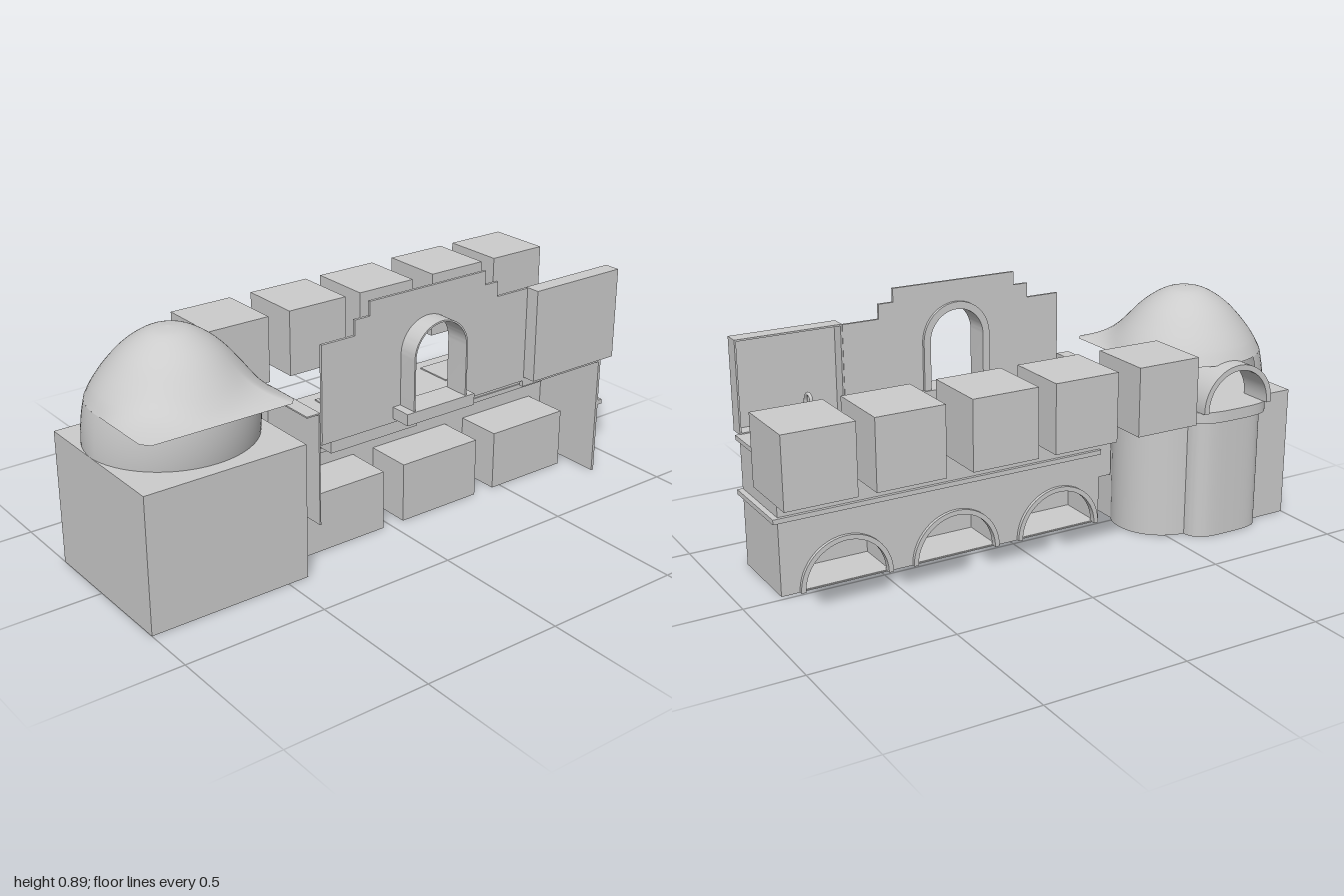
import * as THREE from 'three';
import { toCreasedNormals } from 'three/addons/utils/BufferGeometryUtils.js';
import { ParametricGeometry } from 'three/addons/geometries/ParametricGeometry.js';

export function createModel() {
  const model = new THREE.Group();
  const mat = new THREE.MeshStandardMaterial({ color: 0xcccccc, side: THREE.DoubleSide });

  const add = (name, geo) => {
    const m = new THREE.Mesh(geo, mat);
    m.name = name;
    model.add(m);
    return m;
  };
  // Box given by its limits on each axis
  const box = (name, x0, x1, y0, y1, z0, z1) =>
    add(name, new THREE.BoxGeometry(x1 - x0, y1 - y0, z1 - z0))
      .position.set((x0 + x1) / 2, (y0 + y1) / 2, (z0 + z1) / 2);
  const extrude = (shape, depth) => toCreasedNormals(
    new THREE.ExtrudeGeometry(shape, { depth, bevelEnabled: false, curveSegments: 20 }), 0.5);
  // Upright sheet from z0 to z1
  const upright = (name, shape, z0, z1) => { add(name, extrude(shape, z1 - z0)).position.z = z0; };
  // Flat slab drawn in x and z, from y0 to y1
  const slab = (name, shape, y0, y1) => {
    add(name, extrude(shape, y1 - y0).rotateX(Math.PI / 2)).position.y = y1;
  };
  const poly = (pts, Type = THREE.Shape) => new Type(pts.map(p => new THREE.Vector2(...p)));
  const rect = (x0, x1, y0, y1, Type) => poly([[x0, y0], [x1, y0], [x1, y1], [x0, y1]], Type);
  // Round-headed outline, and a band between two of them
  const arch = (cx, r, y0, spring, Type = THREE.Shape) => {
    const s = new Type();
    s.moveTo(cx - r, y0);
    s.lineTo(cx + r, y0);
    s.lineTo(cx + r, spring);
    s.absarc(cx, spring, r, 0, Math.PI, false);
    s.lineTo(cx - r, y0);
    return s;
  };
  const archBand = (cx, rOut, rIn, y0, spring) => {
    const s = new THREE.Shape();
    s.moveTo(cx + rIn, y0);
    s.lineTo(cx + rOut, y0);
    s.lineTo(cx + rOut, spring);
    s.absarc(cx, spring, rOut, 0, Math.PI, false);
    s.lineTo(cx - rOut, y0);
    s.lineTo(cx - rIn, y0);
    s.lineTo(cx - rIn, spring);
    s.absarc(cx, spring, rIn, Math.PI, 0, true);
    s.lineTo(cx + rIn, y0);
    return s;
  };
  // Five-sided recess, open towards -z
  const recess = (name, x0, x1, y0, y1, z0, z1, t = 0.004) => {
    box(name + 'End', x0, x1, y0, y1, z1 - t, z1);
    box(name + 'Floor', x0, x1, y0, y0 + t, z0, z1);
    box(name + 'Roof', x0, x1, y1 - t, y1, z0, z1);
    box(name + 'Side', x0, x0 + t, y0, y1, z0, z1);
    box(name + 'Side', x1 - t, x1, y0, y1, z0, z1);
  };

  // Row of cubes behind the counter
  for (const x of [-0.475, -0.155, 0.143, 0.47, 0.765])
    box('stoolCube', x, x + 0.235, 0.472, 0.708, -0.395, -0.16);

  // Oven base: square at the front, two lobes meeting in a crease at the back
  const ovenPlan = e => {
    const s = new THREE.Shape();
    s.moveTo(-1, 0.31);
    s.lineTo(-0.425, 0.31);
    s.lineTo(-0.425, 0.02);
    s.bezierCurveTo(-0.385 + e, -0.04, -0.39 + e, -0.2 - e, -0.565 + e, -0.235 - e);
    s.bezierCurveTo(-0.575 + e, -0.3 - e, -0.62, -0.305 - e, -0.715, -0.305 - e);
    s.bezierCurveTo(-0.81, -0.305 - e, -0.845 - e, -0.3 - e, -0.855 - e, -0.25);
    s.lineTo(-1, -0.25);
    s.lineTo(-1, 0.31);
    return s;
  };
  slab('ovenBase', ovenPlan(0), 0, 0.43);
  slab('ovenLedge', ovenPlan(0.018), 0.43, 0.47);

  // Oven dome: a round shell whose rim flares into a thin square-cornered brim at the front
  const ox = -0.712;
  const profile = new THREE.SplineCurve([[0.27, 0.615], [0.246, 0.66], [0.21, 0.71], [0.162, 0.763],
    [0.112, 0.802], [0.06, 0.828], [0, 0.837]].map(p => new THREE.Vector2(...p)));
  add('ovenDome', new ParametricGeometry((u, v, p) => {
    const a = u * Math.PI * 2, sx = Math.sin(a), sz = Math.cos(a);
    const c = profile.getPoint(v * v * 0.3 + v * 0.7);
    const brim = sz > 0 ? 1 / Math.max(Math.abs(sx) / 0.27, sz / 0.3) - 0.27 : 0;
    const reach = c.x + brim * Math.pow(Math.max((0.837 - c.y) / 0.222, 0), 7);
    p.set(ox + sx * reach, c.y, sz * reach);
  }, 64, 36));
  // Lower dome wall with a gap for the mouth
  add('ovenWall', new ParametricGeometry((u, v, p) => {
    const a = (u - 0.5) * 2 * (Math.PI - 0.48);
    const front = Math.max(Math.cos(a), 0);
    const r = 0.288 - 0.018 * v * v - 0.03 * front * (1 - v);
    p.set(ox + Math.sin(a) * r, 0.47 + 0.145 * v, Math.cos(a) * r);
  }, 56, 6));
  upright('ovenMouthArch', archBand(ox, 0.145, 0.125, 0.47, 0.48), -0.322, -0.2);

  // Counter wall with arched niches and the firebox opening
  const wall = rect(-0.37, 0.86, 0, 0.45);
  const fire = new THREE.Path();
  fire.moveTo(-0.2, 0.35);
  fire.lineTo(0.06, 0.35);
  fire.absellipse(-0.07, 0.35, 0.13, 0.075, 0, Math.PI, false);
  wall.holes.push(fire);
  const niches = [-0.195, 0.217, 0.628];
  for (const x of niches) {
    wall.holes.push(arch(x, 0.15, 0.001, 0.004, THREE.Path));
    upright('nicheTrim', archBand(x, 0.167, 0.15, 0, 0.002), 0.008, 0.032);
    recess('niche', x - 0.163, x + 0.163, 0, 0.213, 0.025, 0.2);
  }
  upright('counterWall', wall, 0.02, 0.03);
  recess('firebox', -0.25, 0.11, 0.345, 0.43, 0.025, 0.2);
  box('counterEnd', 0.85, 0.86, 0, 0.455, 0.02, 0.315);
  box('counterMolding', -0.37, 0.88, 0.26, 0.277, 0.008, 0.035);
  box('endMolding', 0.85, 0.88, 0.26, 0.277, 0.008, 0.315);
  // Divider between oven and counter
  box('dividerBack', -0.42, -0.37, 0.17, 0.56, 0.02, 0.025);
  box('dividerSide', -0.375, -0.37, 0.17, 0.56, 0.02, 0.308);
  box('dividerTop', -0.42, -0.37, 0.555, 0.56, 0.02, 0.308);
  box('dividerMolding', -0.425, -0.365, 0.32, 0.34, 0.008, 0.03);

  // Countertop with openings for grill and sink
  const top = rect(-0.37, 0.875, 0.005, 0.315);
  top.holes.push(rect(-0.2, -0.09, 0.055, 0.225, THREE.Path), rect(0.5, 0.845, 0.045, 0.235, THREE.Path));
  slab('countertop', top, 0.452, 0.468);
  box('counterBackRail', 0.48, 0.86, 0.43, 0.455, 0.30, 0.315);

  // Grill grate
  const frame = rect(-0.205, -0.085, 0.05, 0.23);
  frame.holes.push(rect(-0.195, -0.095, 0.06, 0.22, THREE.Path));
  slab('grateFrame', frame, 0.462, 0.472);
  for (let i = 1; i < 5; i++) box('grateBar', -0.198 + i * 0.02, -0.192 + i * 0.02, 0.462, 0.47, 0.06, 0.22);
  for (let i = 1; i < 9; i++) box('grateBar', -0.195, -0.095, 0.462, 0.47, 0.057 + i * 0.018, 0.063 + i * 0.018);
  box('grateTray', -0.2, -0.09, 0.43, 0.435, 0.055, 0.225);

  // Hatch lid with knob
  box('hatchLid', 0.245, 0.44, 0.466, 0.472, 0.05, 0.185);
  add('hatchKnob', new THREE.CylinderGeometry(0.01, 0.01, 0.004, 16).scale(1, 1, 1.8)).position.set(0.424, 0.473, 0.118);

  // Sink basin and drain
  add('sinkBasin', new ParametricGeometry((u, v, p) => {
    const dip = (1 - Math.pow(Math.abs(2 * u - 1), 8)) * (1 - Math.pow(Math.abs(2 * v - 1), 4));
    p.set(0.5 + 0.345 * u, 0.455 - 0.062 * dip, 0.235 - 0.19 * v);
  }, 32, 20));
  add('sinkDrain', new THREE.CylinderGeometry(0.012, 0.006, 0.035, 12)).position.set(0.58, 0.377, 0.14);

  // Taps: two risers, a cross bar and a gooseneck spout
  const pipe = (name, r, pts) => add(name, new THREE.TubeGeometry(
    new THREE.CatmullRomCurve3(pts.map(p => new THREE.Vector3(...p))), 28, r, 10));
  for (const x of [0.622, 0.7]) {
    add('tapFoot', new THREE.CylinderGeometry(0.008, 0.013, 0.012, 16)).position.set(x, 0.474, 0.263);
    pipe('tapRiser', 0.006, [[x, 0.47, 0.263], [x, 0.515, 0.263], [x, 0.538, 0.25], [x, 0.543, 0.225], [x, 0.543, 0.2]]);
  }
  pipe('tapBar', 0.005, [[0.622, 0.543, 0.22], [0.7, 0.543, 0.22]]);
  pipe('tapSpout', 0.006, [[0.661, 0.54, 0.219], [0.661, 0.585, 0.219], [0.661, 0.605, 0.205],
    [0.661, 0.608, 0.19], [0.661, 0.6, 0.175], [0.661, 0.58, 0.171]]);

  // Stepped wall with an arched window
  const cx = 0.05, spring = 0.682;
  const stepped = poly([[-0.37, 0.465], [0.48, 0.465], [0.48, 0.788], [0.345, 0.788], [0.345, 0.84], [0.29, 0.84],
    [0.29, 0.888], [-0.185, 0.888], [-0.185, 0.84], [-0.242, 0.84], [-0.242, 0.788], [-0.37, 0.788]]);
  stepped.holes.push(arch(cx, 0.108, 0.475, spring, THREE.Path));
  upright('steppedWall', stepped, 0.308, 0.318);
  upright('windowTrim', archBand(cx, 0.13, 0.104, 0.47, spring), 0.297, 0.31);
  upright('windowTunnel', archBand(cx, 0.11, 0.104, 0.47, spring), 0.3, 0.387);
  box('windowSill', cx - 0.14, cx + 0.14, 0.468, 0.508, 0.292, 0.392);

  // Bay behind the sink, open towards the counter
  recess('sinkBay', 0.48, 0.86, 0.466, 0.79, 0.31, 0.367, 0.006);

  return model;
}
